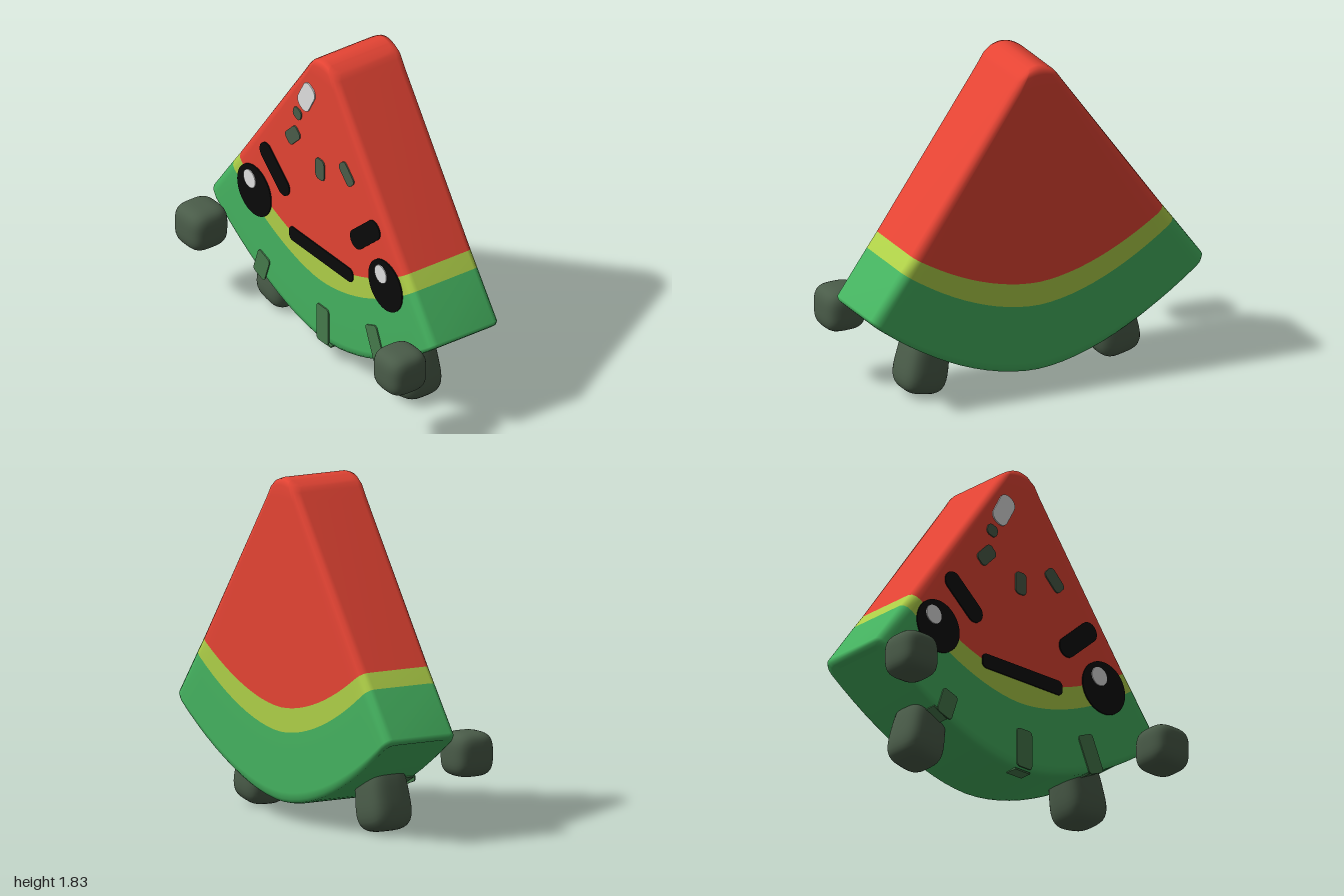
import * as THREE from 'three';
import { mergeVertices } from 'three/addons/utils/BufferGeometryUtils.js';

const mat = (name, color) => {
  const m = new THREE.MeshStandardMaterial({ color });
  m.name = name;
  return m;
};

const Z_MID = -0.125, HALF_DEPTH = 0.225, FRONT = 0.1, CORNER = 0.045;

// One loop around the slice: front left to right, then back right to left.
// Row: [half width, y at the sides, y in the middle, inset in depth]
function loopPoints([w, ySide, yMid, inset]) {
  const half = [], steps = 24, inner = w - CORNER;
  for (let i = 0; i < 4; i++) {
    const a = (i / 3) * Math.PI / 2;
    half.push([-inner - CORNER * Math.cos(a), HALF_DEPTH - inset - CORNER * (1 - Math.sin(a))]);
  }
  for (let i = 1; i < steps; i++) half.push([inner * (2 * i / steps - 1), HALF_DEPTH - inset]);
  for (let i = 3; i >= 0; i--) half.push([-half[i][0], half[i][1]]);
  const back = half.map(([x, z]) => [x, -z]).reverse();
  return [...half, ...back].map(([x, z]) =>
    [x, yMid + (ySide - yMid) * Math.pow(Math.abs(x / w), 1.8), Z_MID + z]);
}

// Skin a band of the slice between rows listed from top to bottom
function bandGeometry(rows, capTop, capBottom) {
  const loops = rows.map(loopPoints), n = loops[0].length, index = [];
  for (let r = 0; r < rows.length - 1; r++) {
    for (let k = 0; k < n; k++) {
      const a = r * n + k, b = r * n + (k + 1) % n, c = a + n, d = b + n;
      index.push(a, c, b, b, c, d);
    }
  }
  const base = (rows.length - 1) * n;
  for (let k = 0; k < n / 2 - 1; k++) {
    const f = k, g = k + 1, h = n - 2 - k, e = n - 1 - k;
    if (capTop) index.push(f, g, h, f, h, e);
    if (capBottom) index.push(base + f, base + h, base + g, base + f, base + e, base + h);
  }
  const geo = new THREE.BufferGeometry();
  geo.setAttribute('position', new THREE.Float32BufferAttribute(loops.flat(2), 3));
  geo.setIndex(index);
  geo.computeVertexNormals();
  return geo;
}

// Soft rounded lump, optionally narrowed towards the top
function lumpGeometry(hx, hy, hz, taper = 0) {
  let geo = new THREE.BoxGeometry(2, 2, 2, 10, 10, 10);
  geo.deleteAttribute('uv');
  geo.deleteAttribute('normal');
  geo = mergeVertices(geo);
  const p = geo.attributes.position, e = 3.4;
  for (let i = 0; i < p.count; i++) {
    const v = new THREE.Vector3().fromBufferAttribute(p, i);
    v.divideScalar(Math.pow(Math.abs(v.x) ** e + Math.abs(v.y) ** e + Math.abs(v.z) ** e, 1 / e));
    const s = 1 - taper * (v.y + 1) / 2;
    p.setXYZ(i, v.x * hx * s, v.y * hy, v.z * hz * s);
  }
  geo.computeVertexNormals();
  return geo;
}

// Thin rounded plate for painted details
function plateGeometry(w, h, r, depth = 0.007) {
  const x = w / 2, y = h / 2, s = new THREE.Shape();
  s.absarc(x - r, y - r, r, 0, Math.PI / 2);
  s.absarc(-x + r, y - r, r, Math.PI / 2, Math.PI);
  s.absarc(-x + r, -y + r, r, Math.PI, Math.PI * 1.5);
  s.absarc(x - r, -y + r, r, Math.PI * 1.5, Math.PI * 2);
  return new THREE.ExtrudeGeometry(s, { depth, bevelEnabled: false, curveSegments: 12 });
}

export function createModel() {
  const group = new THREE.Group();
  group.name = 'melonSlice';
  const red = mat('melon red', 0xe54434), lime = mat('pale rind', 0xafd048);
  const green = mat('rind green', 0x45b360), dark = mat('dark green', 0x4a5c49);
  const stripe = mat('rind stripe', 0x467a4c), black = mat('black', 0x0a0a0a);
  const white = mat('highlight', 0xe0e0e0);

  const add = (name, geo, material, x = 0, y = 0, z = 0, tilt = 0) => {
    const m = new THREE.Mesh(geo, material);
    m.name = name;
    m.position.set(x, y, z);
    m.rotation.z = tilt;
    group.add(m);
    return m;
  };

  // Slice body in three bands
  const redEnd = [0.745, 0.89, 0.61, 0], limeEnd = [0.805, 0.81, 0.48, 0];
  add('flesh', bandGeometry([
    [0.09, 1.795, 1.83, 0.04], [0.105, 1.785, 1.822, 0.012],
    [0.125, 1.76, 1.79, 0], [0.16, 1.71, 1.72, 0], redEnd], true, false), red);
  add('paleRind', bandGeometry([redEnd, limeEnd], false, false), lime);
  add('rind', bandGeometry([
    limeEnd, [0.98, 0.57, 0.16, 0], [0.978, 0.548, 0.125, 0.006],
    [0.963, 0.532, 0.106, 0.02], [0.935, 0.525, 0.1, 0.045]], false, true), green);

  // Hands, feet, eyes and brows in mirrored pairs
  for (const s of [1, -1]) {
    const side = s > 0 ? 'left' : 'right';
    add(side + 'Hand', lumpGeometry(0.12, 0.12, 0.12), dark, s * 0.88, 0.433, 0.23);
    add(side + 'Foot', lumpGeometry(0.138, 0.19, 0.138, 0.2), dark, s * 0.555, 0.195, -0.085, s * 0.19);
    add(side + 'Eye', plateGeometry(0.296, 0.296, 0.148), black, s * 0.58, 0.745, FRONT);
    add(side + 'EyeGlint', plateGeometry(0.104, 0.104, 0.052), white, s * 0.58 - 0.035, 0.8, FRONT + 0.005);
    add(side + 'Brow', plateGeometry(0.31, 0.112, 0.055), black, s * 0.4, 0.968, FRONT, s * 0.73);
  }
  add('mouth', plateGeometry(0.56, 0.082, 0.03), black, 0.01, 0.648, FRONT);

  // Seeds and shine on the flesh: x, y, width, height, tilt
  for (const [x, y, w, h, tilt] of [
    [-0.2, 1.415, 0.07, 0.066, -0.3], [-0.24, 1.26, 0.078, 0.135, -0.78],
    [0.235, 1.26, 0.078, 0.135, 0.78], [0, 1.17, 0.076, 0.126, 0]]) {
    add('seed', plateGeometry(w, h, 0.026), dark, x, y, FRONT, tilt);
  }
  add('shine', plateGeometry(0.106, 0.19, 0.045), white, -0.12, 1.557, FRONT, -0.5);

  // Rind stripes that fold under the bottom edge: x, y, height, tilt, fold x, fold y, fold tilt
  for (const [x, y, h, tilt, fx, fy, ft] of [
    [-0.515, 0.315, 0.155, -0.33, -0.55, 0.262, -0.48],
    [0.025, 0.222, 0.22, 0, 0.025, 0.1, 0],
    [0.49, 0.335, 0.215, 0.4, 0.53, 0.25, 0.47]]) {
    add('stripe', plateGeometry(0.104, h, 0.02), stripe, x, y, FRONT, tilt);
    add('stripeFold', new THREE.BoxGeometry(0.104, 0.009, 0.07), stripe, fx, fy, 0.055, ft);
  }
  return group;
}
